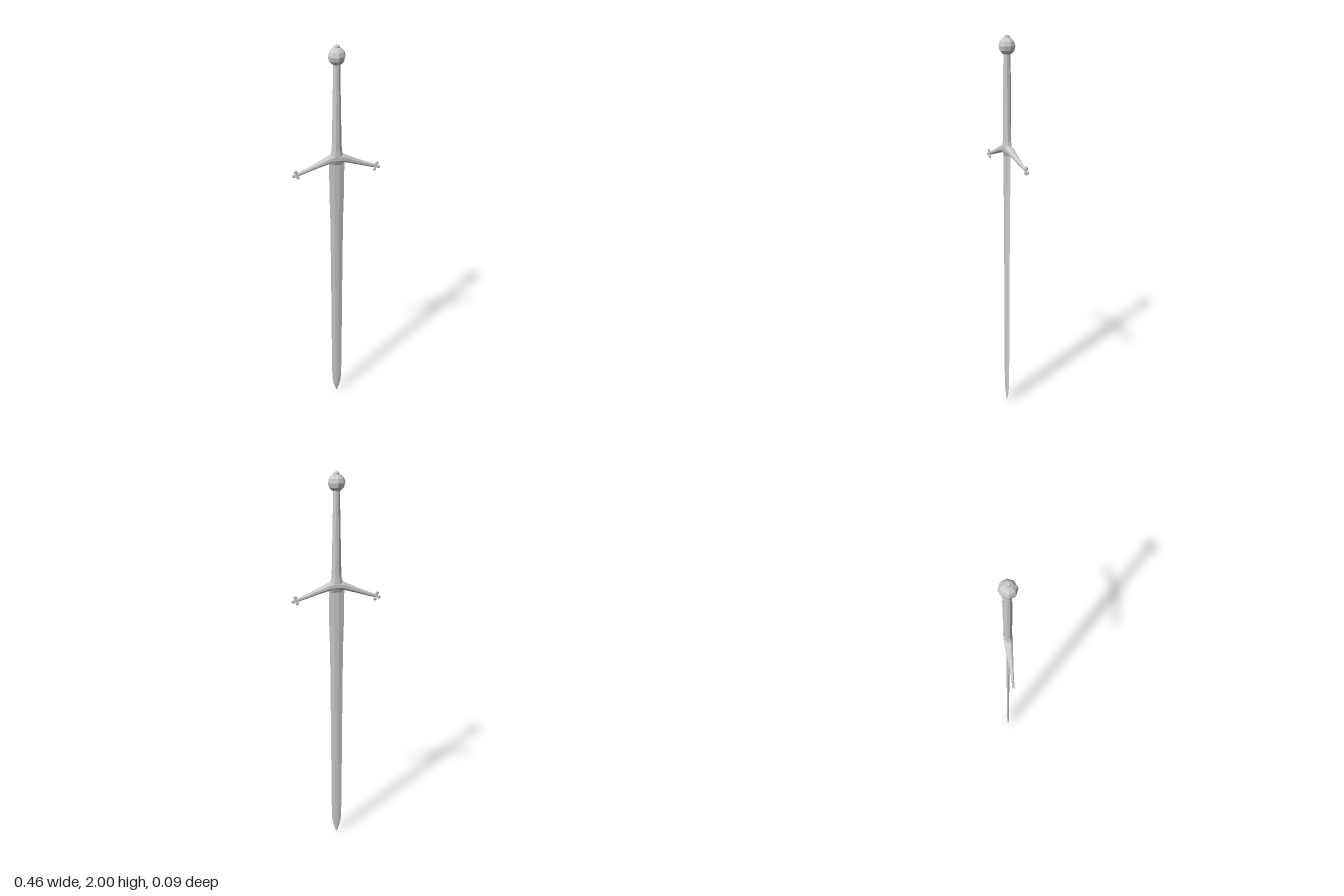
import * as THREE from 'three';

const steel = new THREE.MeshStandardMaterial({ color: 0xcccccc, flatShading: true });

function add(parent, name, geometry) {
  const mesh = new THREE.Mesh(geometry, steel);
  mesh.name = name;
  parent.add(mesh);
  return mesh;
}

// Skin a list of equal-length point rings, closing both ends with fans.
// Rings run counter-clockwise as seen from the direction of travel.
function loft(rings) {
  const n = rings[0].length;
  const pos = [];
  const tri = (a, b, c) => pos.push(...a, ...b, ...c);
  for (let r = 0; r < rings.length - 1; r++) {
    const a = rings[r], b = rings[r + 1];
    for (let i = 0; i < n; i++) {
      const j = (i + 1) % n;
      tri(a[i], a[j], b[j]);
      tri(a[i], b[j], b[i]);
    }
  }
  const first = rings[0], last = rings[rings.length - 1];
  for (let i = 1; i < n - 1; i++) {
    tri(first[0], first[i + 1], first[i]);
    tri(last[0], last[i], last[i + 1]);
  }
  const g = new THREE.BufferGeometry();
  g.setAttribute('position', new THREE.Float32BufferAttribute(pos, 3));
  g.computeVertexNormals();
  return g;
}

const angles = Array.from({ length: 8 }, (_, i) => (i + 0.5) * Math.PI / 4);
const K = 1 / Math.cos(Math.PI / 8);
// Octagons with half extents, across y and across x
const ringY = (y, hx, hz) => angles.map(t => [K * hx * Math.cos(t), y, -K * hz * Math.sin(t)]);
const ringX = (x, y, hy, hz) => angles.map(t => [x, y + K * hy * Math.cos(t), K * hz * Math.sin(t)]);

export function createModel() {
  const sword = new THREE.Group();
  sword.name = 'sword';

  // Blade: flat-centred hexagonal section, [y, half width, half flat, half thickness]
  const bladeStations = [
    [0, 0.001, 0.0005, 0.0005], [0.025, 0.011, 0.003, 0.002], [0.06, 0.021, 0.006, 0.004],
    [0.1, 0.026, 0.008, 0.005], [0.2, 0.028, 0.009, 0.005], [0.7, 0.031, 0.010, 0.006],
    [1.1, 0.034, 0.011, 0.007], [1.24, 0.038, 0.012, 0.007], [1.44, 0.040, 0.012, 0.007],
  ];
  add(sword, 'blade', loft(bladeStations.map(([y, w, f, t]) => [
    [w, y, 0], [f, y, -t], [-f, y, -t], [-w, y, 0], [-f, y, t], [f, y, t],
  ])));

  // Langet: narrow strip on both faces below the guard
  const langet = add(sword, 'langet', new THREE.BoxGeometry(0.016, 0.18, 0.019));
  langet.position.y = 1.35;

  // Crossguard: octagonal bar sloping down, [x, centre y, half height, half depth]
  const arm = [
    [0.035, 1.443, 0.020, 0.020], [0.09, 1.422, 0.015, 0.014],
    [0.15, 1.399, 0.011, 0.009], [0.195, 1.383, 0.009, 0.006],
  ];
  const guardStations = [
    ...arm.slice().reverse().map(([x, ...s]) => [-x, ...s]),
    [0, 1.448, 0.023, 0.021],
    ...arm,
  ];
  add(sword, 'crossguard', loft(guardStations.map(s => ringX(...s))));

  // Collar: flares the grip into the guard
  add(sword, 'collar', loft([
    ringY(1.41, 0.030, 0.009), ringY(1.435, 0.036, 0.019), ringY(1.462, 0.031, 0.020),
    ringY(1.485, 0.025, 0.018), ringY(1.53, 0.022, 0.017),
  ]));

  // Grip
  add(sword, 'grip', loft([
    ringY(1.46, 0.024, 0.017), ringY(1.6, 0.021, 0.018),
    ringY(1.75, 0.018, 0.018), ringY(1.92, 0.015, 0.016),
  ]));

  // Quatrefoil ends of the guard
  for (const side of [1, -1]) {
    const finial = new THREE.Group();
    finial.name = side > 0 ? 'leftFinial' : 'rightFinial';
    finial.position.set(side * 0.205, 1.38, 0);
    finial.rotation.z = -side * 0.35;
    const hub = add(finial, 'finialHub', new THREE.CylinderGeometry(0.009, 0.009, 0.012, 8));
    hub.rotation.x = Math.PI / 2;
    for (let i = 0; i < 4; i++) {
      const lobe = add(finial, 'finialLobe', new THREE.SphereGeometry(0.0095, 8, 6));
      lobe.scale.z = 0.65;
      lobe.position.set(0.016 * Math.cos(i * Math.PI / 2), 0.016 * Math.sin(i * Math.PI / 2), 0);
    }
    sword.add(finial);
  }

  // Pommel: faceted ball with a small peened button
  const pommel = add(sword, 'pommel', new THREE.SphereGeometry(0.043, 8, 6));
  pommel.position.y = 1.949;
  add(sword, 'pommelButton', loft([
    ringY(1.975, 0.013, 0.013), ringY(1.994, 0.013, 0.013), ringY(2, 0.009, 0.009),
  ]));

  return sword;
}
